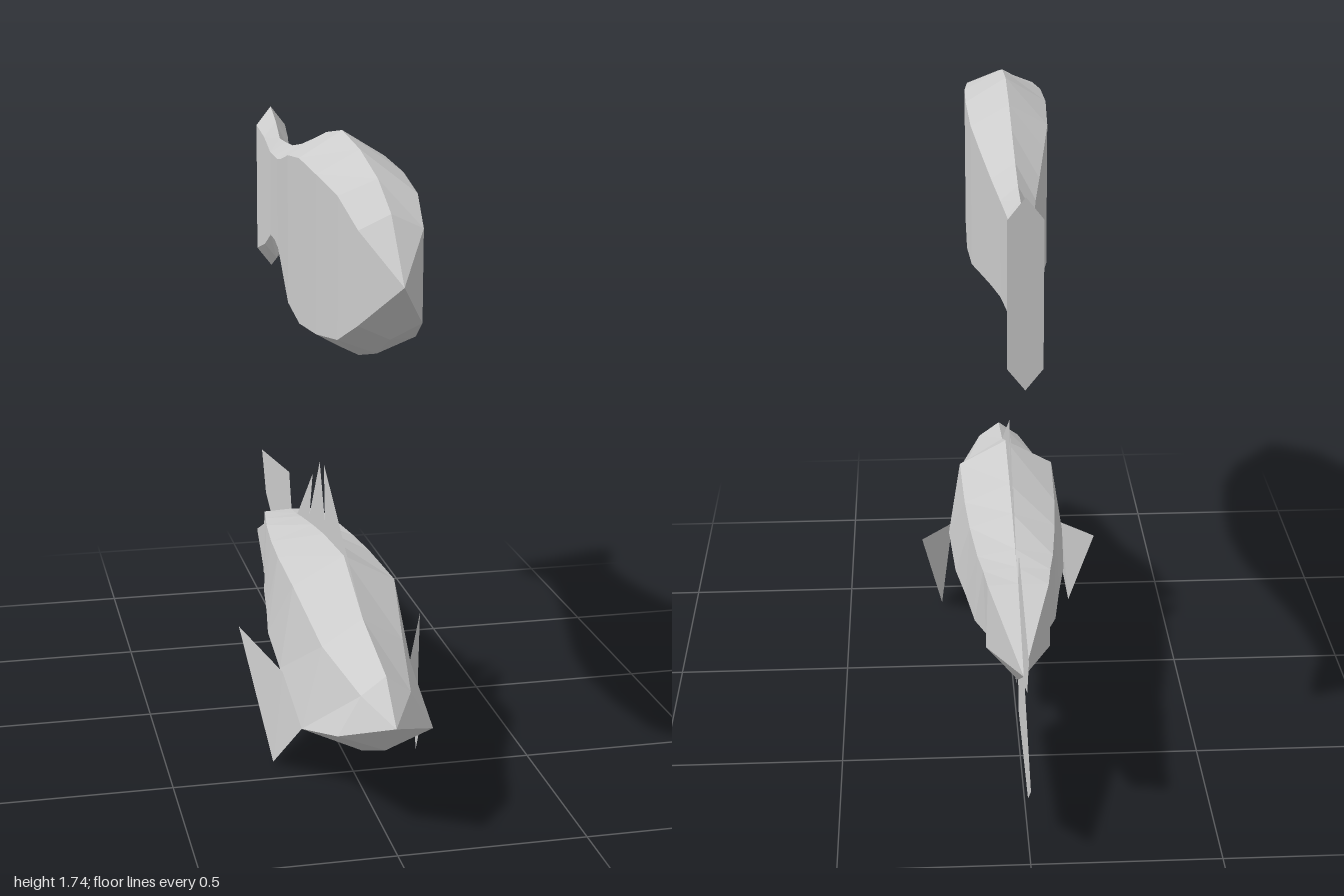
import * as THREE from 'three';

const material = new THREE.MeshStandardMaterial({ color: 0xcccccc, flatShading: true });
const finMaterial = new THREE.MeshStandardMaterial({ color: 0xcccccc, flatShading: true, side: THREE.DoubleSide });

function meshFrom(points, name, mat) {
  const geometry = new THREE.BufferGeometry().setFromPoints(points);
  geometry.computeVertexNormals();
  const mesh = new THREE.Mesh(geometry, mat);
  mesh.name = name;
  return mesh;
}

// Six-sided symmetric ring: ridge, shoulder, side, keel and the mirrored pair
function ring(z, top, shoulder, side, bottom) {
  return [[0, top], shoulder, side, [0, bottom], [-side[0], side[1]], [-shoulder[0], shoulder[1]]]
    .map(([x, y]) => new THREE.Vector3(x, y, z));
}

const tip = (z, y) => ring(z, y, [0, y], [0, y], y);

// Skin a front-to-back list of rings and close the rear end
function loft(rings, name) {
  const points = [];
  const triangle = (a, b, c) => {
    if (!a.equals(b) && !b.equals(c) && !c.equals(a)) points.push(a, b, c);
  };
  for (let i = 0; i < rings.length - 1; i++) {
    for (let k = 0; k < 6; k++) {
      const n = (k + 1) % 6;
      triangle(rings[i][k], rings[i][n], rings[i + 1][k]);
      triangle(rings[i][n], rings[i + 1][n], rings[i + 1][k]);
    }
  }
  const last = rings[rings.length - 1];
  for (let k = 1; k < 5; k++) triangle(last[0], last[k], last[k + 1]);
  return meshFrom(points, name, material);
}

// Flat fin in the centre plane from a [z, y] outline
function fin(outline, name) {
  const shape = new THREE.Shape(outline.map(([z, y]) => new THREE.Vector2(-z, y)));
  const geometry = new THREE.ShapeGeometry(shape).rotateY(Math.PI / 2);
  const mesh = new THREE.Mesh(geometry, finMaterial);
  mesh.name = name;
  return mesh;
}

// Upper fish: flat-sided with bevelled back and belly, mirrored about its midline
function createSimpleFish() {
  const mid = 1.455;
  // z, half width, half height of the flat side, half height at the ridge
  const sections = [
    [0.866, 0.08, 0.115, 0.152],
    [0.73, 0.1, 0.178, 0.217],
    [0.535, 0.113, 0.205, 0.265],
    [0.33, 0.115, 0.22, 0.29],
    [0.134, 0.107, 0.203, 0.263],
    [-0.016, 0.088, 0.178, 0.23],
    [-0.2, 0.064, 0.149, 0.192],
    [-0.337, 0.046, 0.132, 0.171],
    [-0.45, 0.035, 0.127, 0.168],
    [-0.54, 0.03, 0.127, 0.168],
    [-0.604, 0.037, 0.166, 0.212],
    [-0.692, 0.045, 0.193, 0.25],
  ];
  const rings = sections.map(([z, w, h, r]) => ring(z, mid + r, [w, mid + h], [w, mid - h], mid - r));
  return loft([tip(1, mid), ...rings], 'simpleFish');
}

// Lower fish: angular body with separate fins
function createFinnedFish() {
  const fish = new THREE.Group();
  fish.name = 'finnedFish';

  fish.add(loft([
    tip(0.973, 0.337),
    ring(0.861, 0.433, [0.065, 0.385], [0.125, 0.28], 0.23),
    ring(0.6, 0.49, [0.11, 0.42], [0.165, 0.19], 0.112),
    ring(0.37, 0.588, [0.143, 0.51], [0.18, 0.272], 0.064),
    ring(0.107, 0.565, [0.135, 0.505], [0.165, 0.275], 0.085),
    ring(-0.05, 0.543, [0.125, 0.5], [0.14, 0.28], 0.118),
    ring(-0.22, 0.515, [0.108, 0.494], [0.117, 0.285], 0.135),
    ring(-0.3, 0.5, [0.095, 0.49], [0.088, 0.288], 0.162),
    ring(-0.38, 0.49, [0.085, 0.486], [0.09, 0.289], 0.18),
    tip(-0.663, 0.362),
  ], 'body'));

  // Spiked back fin
  fish.add(fin([
    [0.6, 0.49], [0.107, 0.775], [0.123, 0.604], [0.05, 0.765], [-0.096, 0.56],
    [-0.05, 0.7], [-0.283, 0.503], [-0.2, 0.48], [0.37, 0.55],
  ], 'dorsalFin'));

  // Forked tail
  fish.add(fin([
    [-0.37, 0.48], [-0.41, 0.6], [-0.888, 0.54], [-0.82, 0.41], [-0.706, 0.358],
    [-0.995, 0.225], [-0.87, 0.118], [-0.41, 0.096], [-0.375, 0.22],
  ], 'tailFin'));

  // Small belly fin
  fish.add(fin([[-0.05, 0.118], [-0.2, 0.096], [-0.283, 0.112], [-0.29, 0.18]], 'analFin'));

  // Folded side fins
  for (const s of [1, -1]) {
    const [root, hinge, back, low] = [
      [0.165, 0.19, 0.6], [0.18, 0.277, 0.41], [0.265, 0.337, 0.197], [0.205, 0.005, 0.395],
    ].map(([x, y, z]) => new THREE.Vector3(s * x, y, z));
    fish.add(meshFrom([root, low, hinge, hinge, low, back],
      s > 0 ? 'leftPectoralFin' : 'rightPectoralFin', finMaterial));
  }
  return fish;
}

export function createModel() {
  const model = new THREE.Group();
  model.name = 'twoFish';
  model.add(createSimpleFish(), createFinnedFish());
  return model;
}
